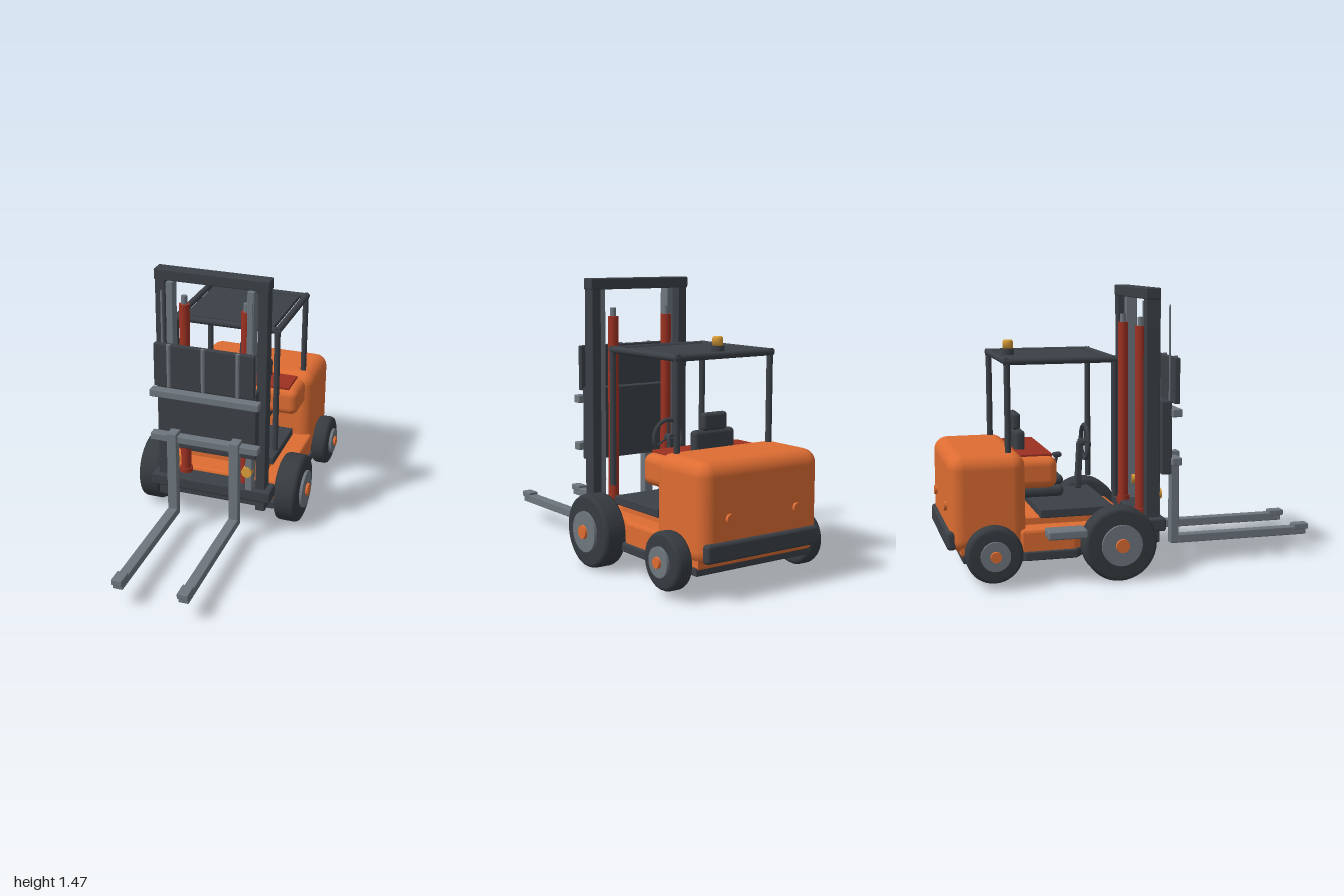
import * as THREE from 'three';
import { RoundedBoxGeometry } from 'three/addons/geometries/RoundedBoxGeometry.js';

const paint = (name, color) => {
  const m = new THREE.MeshStandardMaterial({ color });
  m.name = name;
  return m;
};

export function createModel() {
  const model = new THREE.Group();
  model.name = 'forklift';
  const orange = paint('orange paint', 0xdd6c32);
  const dark = paint('dark steel', 0x3b4046);
  const rubber = paint('rubber', 0x363b40);
  const grey = paint('grey steel', 0x6d757d);
  const red = paint('red paint', 0x9c3122);
  const amber = paint('amber lamp', 0xd99c38);

  const add = (name, geometry, material, x = 0, y = 0, z = 0, parent = model) => {
    const mesh = new THREE.Mesh(geometry, material);
    mesh.name = name;
    mesh.position.set(x, y, z);
    parent.add(mesh);
    return mesh;
  };
  // Rounded box given by its extents on each axis
  const box = (name, material, [x0, x1], [y0, y1], [z0, z1], r = 0.006, seg = 2) =>
    add(name, new RoundedBoxGeometry(x1 - x0, y1 - y0, z1 - z0, seg, r), material,
      (x0 + x1) / 2, (y0 + y1) / 2, (z0 + z1) / 2);
  // Box centred on x = 0
  const wide = (name, material, half, y, z, r, seg) => box(name, material, [-half, half], y, z, r, seg);
  // Round bar between two points
  const bar = (name, material, a, b, r, sides = 20) => {
    const p = new THREE.Vector3(...a), q = new THREE.Vector3(...b);
    const d = q.clone().sub(p);
    const mesh = add(name, new THREE.CylinderGeometry(r, r, d.length(), sides), material);
    mesh.position.copy(p).add(q).multiplyScalar(0.5);
    mesh.quaternion.setFromUnitVectors(new THREE.Vector3(0, 1, 0), d.normalize());
    return mesh;
  };
  // Slab with a mirrored plan outline of [x, z] points
  const slab = (name, material, plan, y0, y1, bevel) => {
    const outline = [...plan, ...plan.slice().reverse().map(([x, z]) => [-x, z])];
    const shape = new THREE.Shape(outline.map(([x, z]) => new THREE.Vector2(x, -z)));
    const g = new THREE.ExtrudeGeometry(shape, {
      depth: y1 - y0 - 2 * bevel, bevelThickness: bevel, bevelSize: bevel,
      bevelOffset: -bevel, bevelSegments: 2,
    });
    g.rotateX(-Math.PI / 2);
    return add(name, g, material, 0, y0 + bevel, 0);
  };

  // Chassis and belly
  slab('chassis', orange, [[0.33, -0.02], [0.33, -0.32], [0.365, -0.36], [0.365, -0.62], [0.35, -0.64], [0.35, -0.93]], 0.15, 0.275, 0.015);
  slab('bellyPlate', dark, [[0.33, 0.02], [0.33, -0.31], [0.38, -0.35], [0.38, -0.61], [0.35, -0.65], [0.35, -0.92]], 0.12, 0.165, 0.006);
  wide('floorPlate', dark, 0.28, [0.31, 0.355], [-0.515, -0.13]);
  wide('floorSupport', orange, 0.25, [0.26, 0.312], [-0.6, -0.15]);
  box('sideStep', grey, [-0.455, -0.345], [0.235, 0.28], [-0.51, -0.31], 0.01);

  // Counterweight, hood and rear details
  wide('counterweight', orange, 0.365, [0.17, 0.66], [-0.98, -0.598], 0.07, 4);
  wide('hood', orange, 0.32, [0.47, 0.63], [-0.7, -0.43], 0.045, 4);
  wide('hoodMat', red, 0.27, [0.622, 0.642], [-0.62, -0.45], 0.005);
  wide('rearBumper', dark, 0.345, [0.19, 0.285], [-0.998, -0.95], 0.018, 3);
  for (const s of [-1, 1]) bar('rearLight', orange, [s * 0.205, 0.39, -0.97], [s * 0.205, 0.39, -0.995], 0.024);

  // Seat
  wide('seatBase', dark, 0.14, [0.387, 0.445], [-0.6, -0.36], 0.026, 3);
  wide('seatCushion', dark, 0.13, [0.447, 0.497], [-0.6, -0.36], 0.024, 3);
  wide('seatBack', dark, 0.125, [0.6, 0.74], [-0.612, -0.56], 0.02, 3);
  wide('headrest', dark, 0.075, [0.735, 0.825], [-0.617, -0.573], 0.018, 3);

  // Controls
  const column = wide('steeringColumn', dark, 0.022, [0.4, 0.65], [-0.265, -0.235]);
  column.rotation.x = 0.06;
  const wheelRing = add('steeringWheel', new THREE.TorusGeometry(0.09, 0.011, 10, 32), dark, 0, 0.648, -0.216);
  bar('steeringHub', dark, [0, 0.645, -0.25], [0, 0.648, -0.208], 0.02);
  for (let i = 0; i < 3; i++) {
    const a = Math.PI / 2 + i * Math.PI * 2 / 3;
    bar('steeringSpoke', dark, [0, 0.648, -0.216], [Math.cos(a) * 0.09, 0.648 + Math.sin(a) * 0.09, -0.216], 0.006, 8);
  }
  bar('lever', dark, [0.1, 0.43, -0.378], [0.1, 0.57, -0.345], 0.009, 12);
  box('leverKnob', dark, [0.08, 0.12], [0.555, 0.58], [-0.37, -0.322], 0.01);

  // Overhead guard
  for (const s of [-1, 1]) {
    bar('guardFrontPost', dark, [s * 0.287, 0.41, -0.13], [s * 0.287, 1.115, -0.13], 0.016);
    bar('guardRearPost', dark, [s * 0.287, 0.6, -0.678], [s * 0.287, 1.115, -0.678], 0.016);
    bar('guardSideRail', dark, [s * 0.287, 1.113, -0.118], [s * 0.287, 1.113, -0.695], 0.018);
  }
  for (const z of [-0.135, -0.68]) bar('guardCrossRail', dark, [-0.3, 1.113, z], [0.3, 1.113, z], 0.018);
  wide('guardPanel', dark, 0.255, [1.1, 1.122], [-0.648, -0.175], 0.004);
  bar('beaconBase', dark, [0, 1.115, -0.622], [0, 1.155, -0.622], 0.033);
  const lamp = [[0, 0], [0.027, 0], [0.027, 0.036], [0.021, 0.045], [0, 0.046]].map((p) => new THREE.Vector2(...p));
  add('beaconLamp', new THREE.LatheGeometry(lamp, 24), amber, 0, 1.154, -0.622);

  // Mast, lift cylinders, chains and forks
  wide('mastTopBar', dark, 0.31, [1.41, 1.468], [0.032, 0.11]);
  wide('mastLowerBar', dark, 0.34, [0.215, 0.285], [0.02, 0.135], 0.012);
  for (const s of [-1, 1]) {
    const pair = (x0, x1) => (s > 0 ? [x0, x1] : [-x1, -x0]);
    box('mastUpright', dark, pair(0.25, 0.305), [0.15, 1.42], [0.035, 0.11]);
    box('innerChannel', grey, pair(0.2, 0.237), [0.22, 1.412], [0.07, 0.132], 0.004);
    box('liftChain', grey, pair(0.236, 0.246), [0.87, 1.38], [0.176, 0.184], 0.002);
    bar('liftCylinder', red, [s * 0.17, 0.25, 0.043], [s * 0.17, 1.27, 0.043], 0.028);
    bar('cylinderFlange', red, [s * 0.17, 0.275, 0.043], [s * 0.17, 0.31, 0.043], 0.036);
    bar('cylinderRod', grey, [s * 0.17, 1.26, 0.043], [s * 0.17, 1.315, 0.043], 0.016);
    bar('headlight', amber, [s * 0.21, 0.39, 0.1], [s * 0.21, 0.39, 0.142], 0.029);
    box('forkShank', grey, pair(0.146, 0.2), [0.11, 0.61], [0.205, 0.25], 0.005);
    box('forkHook', grey, pair(0.146, 0.2), [0.55, 0.61], [0.18, 0.23], 0.005);
    box('forkBlade', grey, pair(0.146, 0.2), [0.11, 0.155], [0.21, 0.985], 0.005);
    box('forkTip', grey, pair(0.144, 0.202), [0.138, 0.17], [0.915, 1.0], 0.005);
  }

  // Carriage and load backrest
  wide('carriagePlate', dark, 0.273, [0.5, 0.885], [0.13, 0.185]);
  wide('carriageUpperBar', grey, 0.3, [0.803, 0.845], [0.18, 0.232]);
  wide('carriageLowerBar', grey, 0.3, [0.548, 0.59], [0.18, 0.232]);
  wide('loadBackrest', dark, 0.273, [0.868, 1.108], [0.198, 0.228]);
  for (const x of [-0.187, 0, 0.187]) bar('backrestRib', grey, [x, 0.875, 0.231], [x, 1.112, 0.231], 0.011, 12);

  // Wheels: tyre, hub disc and cap, each lathed outwards along x
  const wheel = (name, s, r, inner, outer, y, z, hubR, capR) => {
    const group = new THREE.Group();
    group.name = name;
    group.position.set(s * inner, y, z);
    group.rotation.z = -s * Math.PI / 2;
    model.add(group);
    const w = outer - inner, e = 0.022;
    const profile = [[0, 0], [r - e, 0], [r - e * 0.3, e * 0.35], [r, e], [r, w - e], [r - e * 0.3, w - e * 0.35], [r - e, w], [0, w]];
    add('tyre', new THREE.LatheGeometry(profile.map((p) => new THREE.Vector2(...p)), 40), rubber, 0, 0, 0, group);
    add('hubDisc', new THREE.CylinderGeometry(hubR, hubR, 0.03, 32), grey, 0, w, 0, group);
    add('hubCap', new THREE.CylinderGeometry(capR * 0.9, capR, 0.03, 20), orange, 0, w + 0.013, 0, group);
  };
  for (const s of [-1, 1]) {
    wheel('frontWheel', s, 0.19, 0.332, 0.459, 0.19, -0.137, 0.105, 0.038);
    wheel('rearWheel', s, 0.142, 0.36, 0.452, 0.176, -0.775, 0.074, 0.03);
    bar('axle', dark, [0, 0.19, -0.137], [s * 0.35, 0.19, -0.137], 0.04);
    bar('axle', dark, [0, 0.176, -0.775], [s * 0.38, 0.176, -0.775], 0.035);
  }
  return model;
}
